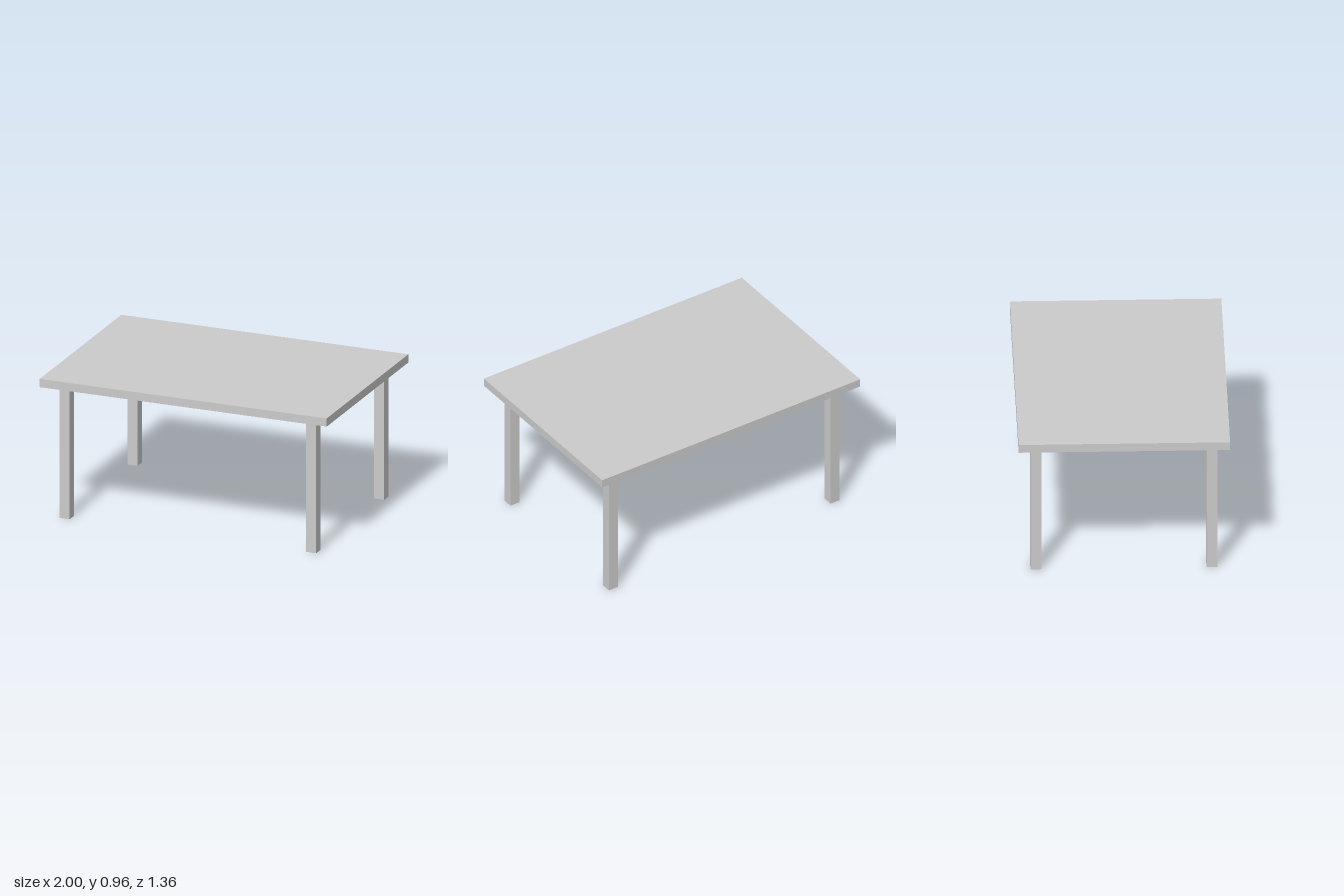
import * as THREE from 'three';

const TOP_Y = 0.957;
const LEG_HEIGHT = 0.901;
const LEG_WIDTH = 0.07;

export function createModel() {
  const table = new THREE.Group();
  table.name = 'table';
  const material = new THREE.MeshStandardMaterial({ color: 0xcccccc });

  // Flat rectangular slab
  const thickness = TOP_Y - LEG_HEIGHT;
  const top = new THREE.Mesh(new THREE.BoxGeometry(2, thickness, 1.36), material);
  top.name = 'tableTop';
  top.position.y = LEG_HEIGHT + thickness / 2;
  table.add(top);

  // Four square legs, inset from the corners
  const legGeometry = new THREE.BoxGeometry(LEG_WIDTH, LEG_HEIGHT, LEG_WIDTH);
  for (const [xName, x] of [['Left', 1], ['Right', -1]]) {
    for (const [zName, z] of [['front', 1], ['back', -1]]) {
      const leg = new THREE.Mesh(legGeometry, material);
      leg.name = `${zName}${xName}Leg`;
      leg.position.set(x * 0.859, LEG_HEIGHT / 2, z * 0.566);
      table.add(leg);
    }
  }

  return table;
}
